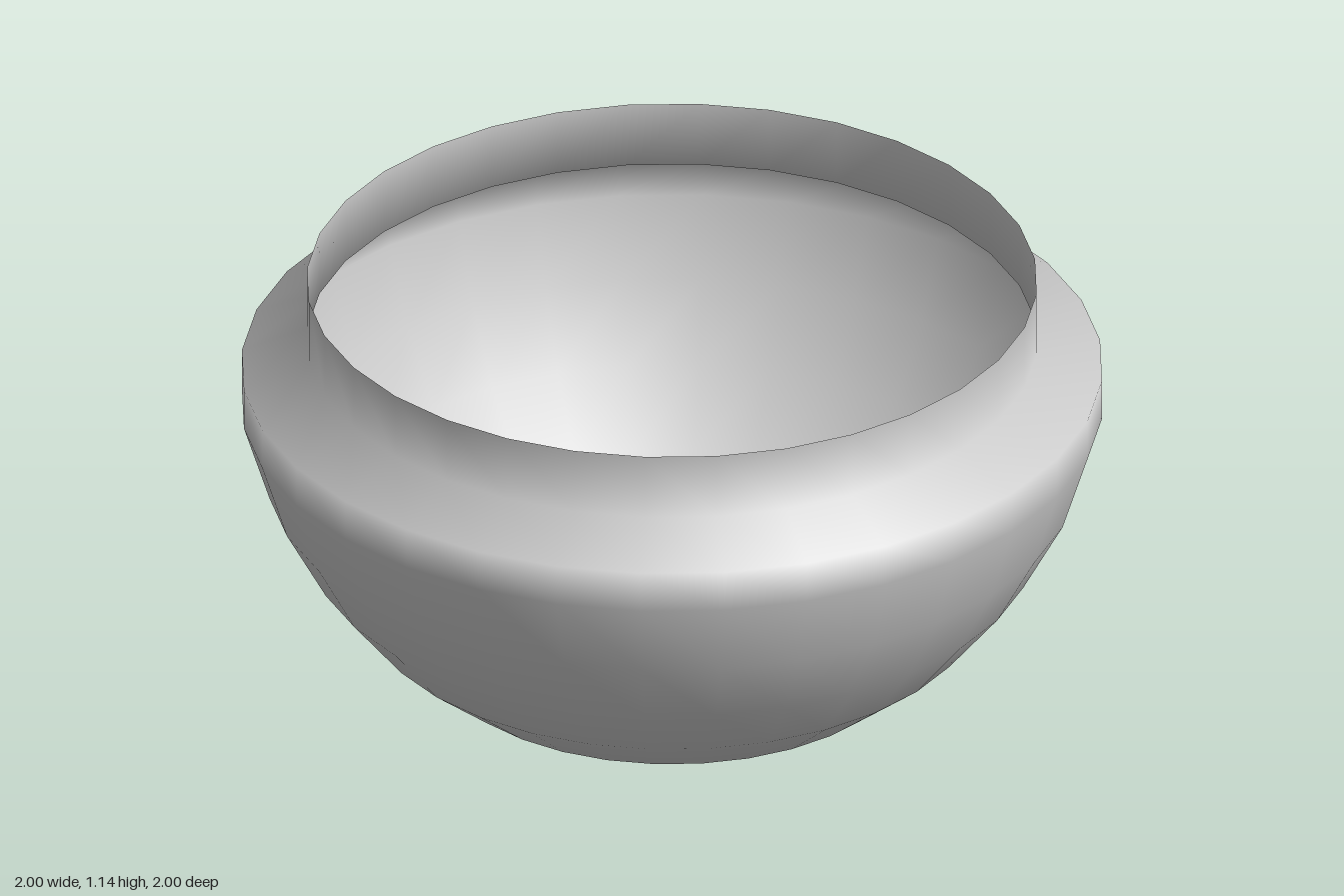
import * as THREE from 'three';

export function createModel() {
  const group = new THREE.Group();
  group.name = 'bowl';

  // Thin open shell: round belly, short vertical band, sloping shoulder, upright neck
  const profile = [
    [0, 0], [0.2, 0.02], [0.39, 0.08], [0.565, 0.175], [0.72, 0.3],
    [0.845, 0.455], [0.94, 0.63], [1, 0.82],
    [1, 0.92], [0.848, 0.985], [0.848, 1.145],
  ].map(([r, y]) => new THREE.Vector2(r, y));

  const shell = new THREE.Mesh(
    new THREE.LatheGeometry(profile, 32),
    new THREE.MeshStandardMaterial({ color: 0xcccccc, side: THREE.DoubleSide }),
  );
  shell.name = 'bowlShell';
  group.add(shell);
  return group;
}
